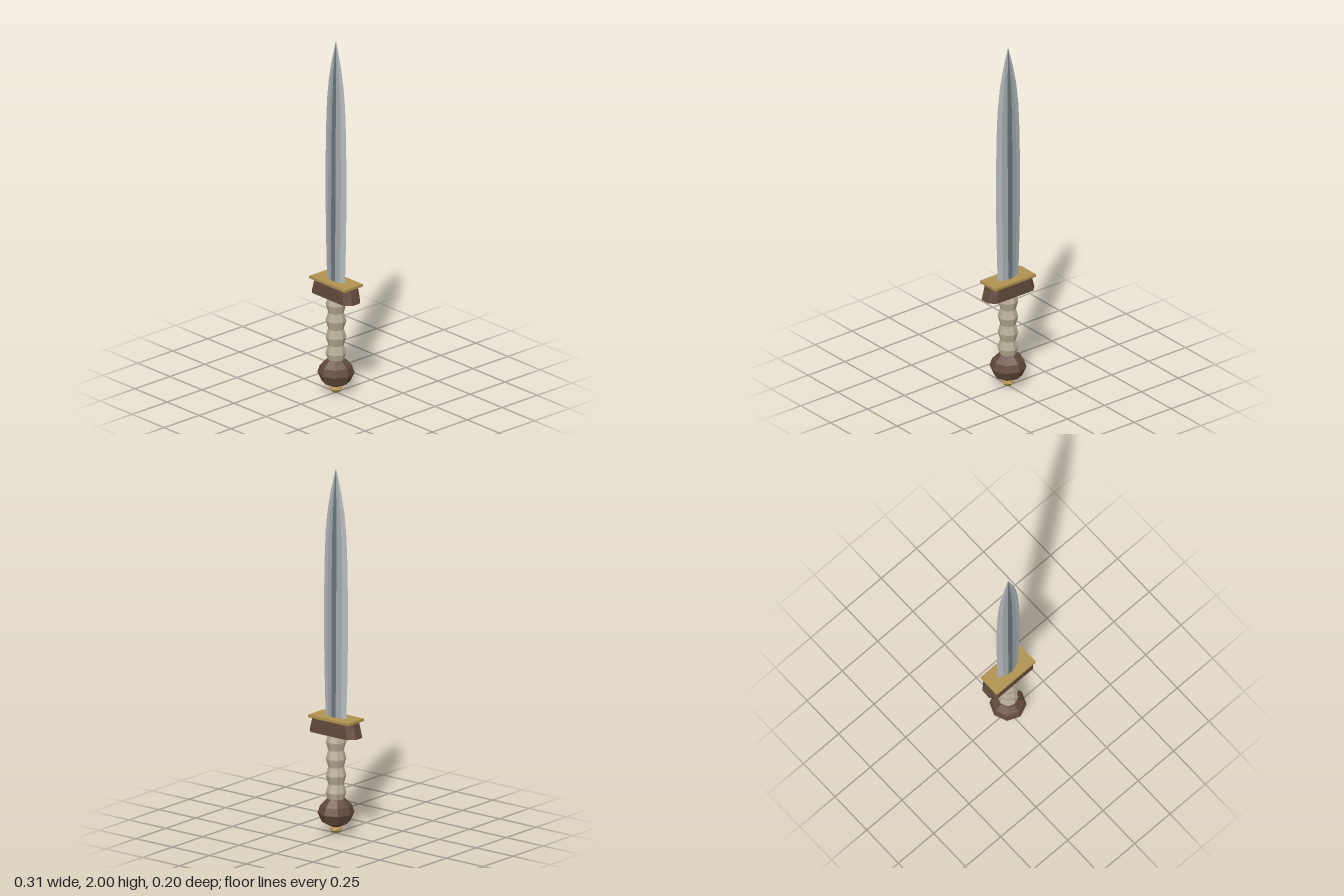
import * as THREE from 'three';

const mat = (name, color) => {
  const m = new THREE.MeshStandardMaterial({ color, flatShading: true });
  m.name = name;
  return m;
};

// Skin between equal-length rings (each running from +x towards +z); strips picks the columns to build
function loft(rings, strips, capped = false) {
  const n = rings[0].length, pos = [];
  const tri = (...pts) => pts.forEach(p => pos.push(...p));
  for (let i = 0; i < rings.length - 1; i++) {
    for (const j of strips) {
      const k = (j + 1) % n;
      const a = rings[i][j], b = rings[i][k], c = rings[i + 1][j], d = rings[i + 1][k];
      tri(b, a, c);
      tri(b, c, d);
    }
  }
  if (capped) {
    const lo = rings[0], hi = rings[rings.length - 1];
    for (let j = 1; j < n - 1; j++) {
      tri(lo[0], lo[j], lo[j + 1]);
      tri(hi[0], hi[j + 1], hi[j]);
    }
  }
  const g = new THREE.BufferGeometry();
  g.setAttribute('position', new THREE.Float32BufferAttribute(pos, 3));
  g.computeVertexNormals();
  return g;
}

export function createModel() {
  const group = new THREE.Group();
  const steel = mat('steel', 0xa0a8ac);
  const edgeSteel = mat('edgeSteel', 0xb4b9bd);
  const darkSteel = mat('darkSteel', 0x68757b);
  const wood = mat('darkWood', 0x624a3c);
  const brass = mat('brass', 0xb0924f);
  const bone = mat('bone', 0xb9ad96);

  const add = (name, geometry, material) => {
    const m = new THREE.Mesh(geometry, material);
    m.name = name;
    group.add(m);
    return m;
  };
  const turned = (name, profile, material) =>
    add(name, new THREE.LatheGeometry(profile.map(p => new THREE.Vector2(...p)), 8), material);

  // Blade: height, half width, half thickness
  const stations = [
    [0.63, 0.07, 0.021], [0.85, 0.077, 0.02], [1.1, 0.082, 0.019], [1.3, 0.081, 0.018],
    [1.5, 0.077, 0.016], [1.65, 0.07, 0.014], [1.77, 0.056, 0.011], [1.87, 0.036, 0.007],
    [1.95, 0.015, 0.003], [2, 0.0005, 0.0003],
  ];
  const section = [[1, 0], [0.6, 0.58], [0.2, 1], [-0.2, 1], [-0.6, 0.58],
    [-1, 0], [-0.6, -0.58], [-0.2, -1], [0.2, -1], [0.6, -0.58]];
  const bladeRings = stations.map(([y, w, d]) => section.map(([x, z]) => [x * w, y, z * d]));
  add('bladeEdges', loft(bladeRings, [0, 4, 5, 9]), edgeSteel);
  add('bladeBevels', loft(bladeRings, [1, 3, 6, 8]), steel);
  add('bladeFuller', loft(bladeRings, [2, 7]), darkSteel);

  // Guard: chamfered block that narrows upwards, topped by a plate
  const outline = [[0.157, 0.027], [0.122, 0.06], [-0.122, 0.06], [-0.157, 0.027],
    [-0.157, -0.027], [-0.122, -0.06], [0.122, -0.06], [0.157, -0.027]];
  const guardRings = [[0.545, 1, 1], [0.626, 0.87, 0.95]]
    .map(([y, sx, sz]) => outline.map(([x, z]) => [x * sx, y, z * sz]));
  add('guard', loft(guardRings, [0, 1, 2, 3, 4, 5, 6, 7], true), wood);
  add('guardPlate', new THREE.BoxGeometry(0.276, 0.014, 0.13), brass).position.y = 0.632;

  // Grip: four finger swells
  const grip = [];
  for (let i = 0; i <= 16; i++) {
    const swell = 0.5 - 0.5 * Math.cos(i * Math.PI / 2);
    grip.push([0.042 + 0.013 * swell, 0.18 + i * 0.37 / 16]);
  }
  turned('grip', grip, bone);

  // Faceted pommel with its end button
  turned('pommel', [[0, 0.036], [0.028, 0.04], [0.075, 0.064], [0.098, 0.115], [0.085, 0.155],
    [0.05, 0.19], [0, 0.19]], wood);
  turned('pommelButton', [[0, 0], [0.02, 0.004], [0.034, 0.022], [0.03, 0.03], [0.014, 0.034],
    [0.014, 0.042]], brass);

  return group;
}
